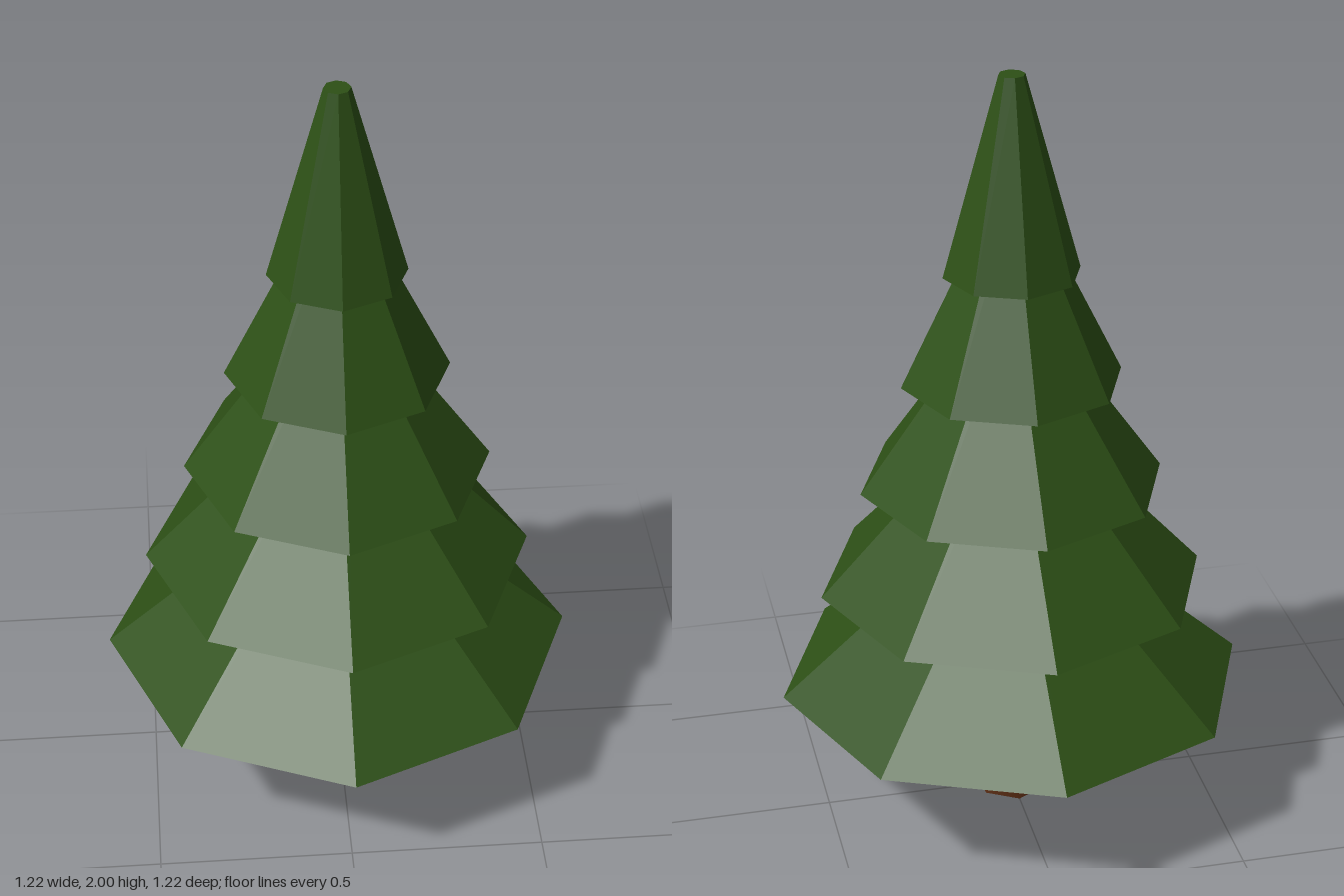
import * as THREE from 'three';

export function createModel() {
  const tree = new THREE.Group();
  tree.name = 'pineTree';

  const needles = new THREE.MeshStandardMaterial({ color: 0x2d5016 });
  needles.name = 'needle green';
  const bark = new THREE.MeshStandardMaterial({ color: 0x5a2d14 });
  bark.name = 'bark brown';

  // Tapered six-sided trunk with smooth sides, ending inside the lowest tier
  const trunkHeight = 0.48;
  const trunk = new THREE.Mesh(new THREE.CylinderGeometry(0.074, 0.095, trunkHeight, 6), bark);
  trunk.name = 'trunk';
  trunk.position.y = trunkHeight / 2;
  tree.add(trunk);

  // Five overlapping eight-sided tiers, each narrower than the one below
  const tierHeight = 0.51;
  for (let i = 0; i < 5; i++) {
    const radius = 0.61 - i * 0.109;
    const bottom = 0.345 + i * 0.28625;
    // Separate faces give crisp facets
    const geometry = new THREE.CylinderGeometry(0.033, radius, tierHeight, 8).toNonIndexed();
    geometry.computeVertexNormals();
    const tier = new THREE.Mesh(geometry, needles);
    tier.name = `foliageTier${i + 1}`;
    tier.position.y = bottom + tierHeight / 2;
    tree.add(tier);
  }

  return tree;
}
